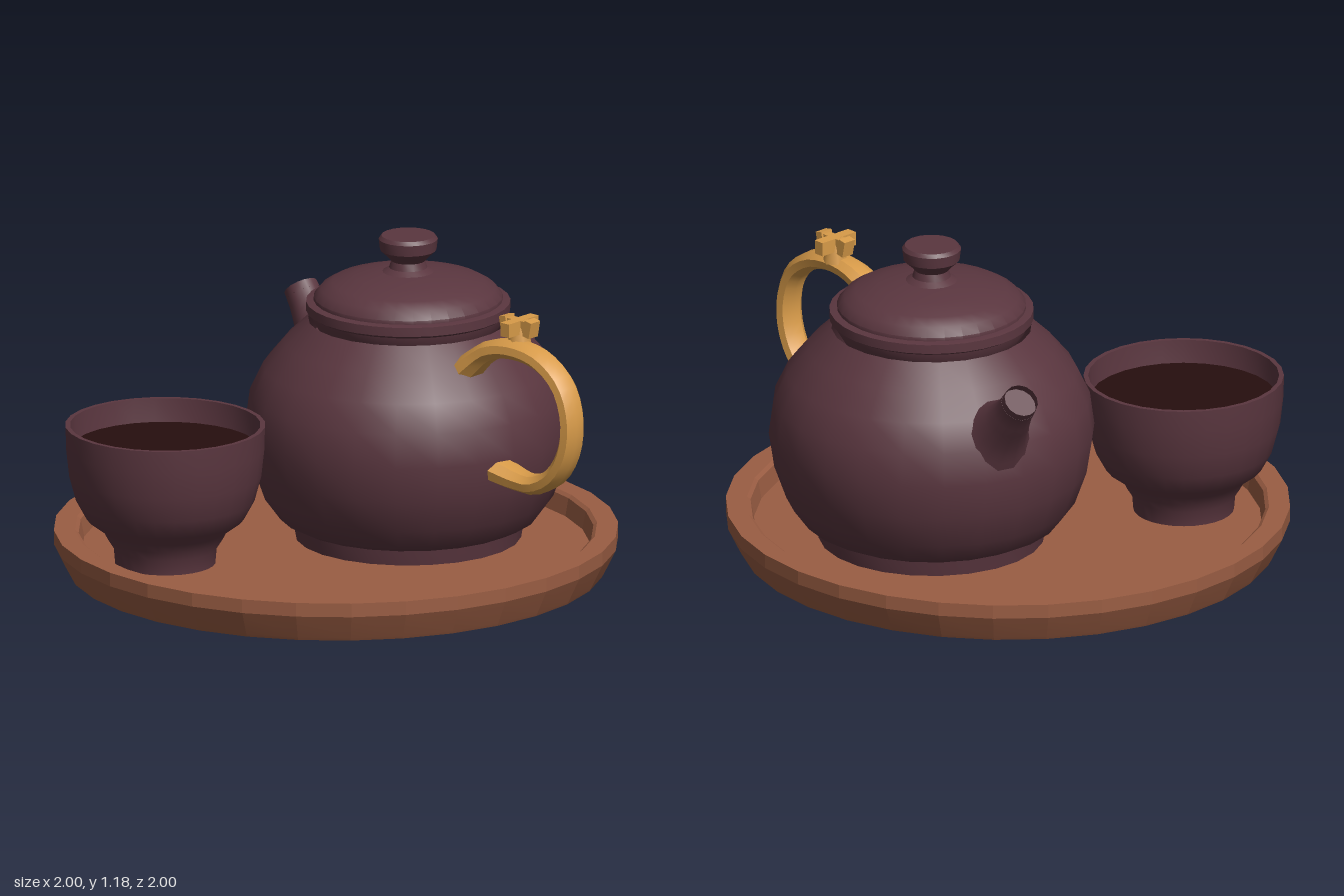
import * as THREE from 'three';
import { toCreasedNormals } from 'three/addons/utils/BufferGeometryUtils.js';

const clay = new THREE.MeshStandardMaterial({ color: 0x5a363f, side: THREE.DoubleSide });
clay.name = 'purple clay';
const wood = new THREE.MeshStandardMaterial({ color: 0x9a5d43 });
wood.name = 'tray wood';
const bamboo = new THREE.MeshStandardMaterial({ color: 0xd89b49 });
bamboo.name = 'golden handle';
const tea = new THREE.MeshStandardMaterial({ color: 0x260e0e });
tea.name = 'dark tea';

function add(group, name, geometry, material, x = 0, y = 0, z = 0) {
  const mesh = new THREE.Mesh(geometry, material);
  mesh.name = name;
  mesh.position.set(x, y, z);
  group.add(mesh);
  return mesh;
}

// Turned part from [radius, height] pairs, listed from the bottom axis outward and up
function turned(profile, sides, crease) {
  const points = profile.map(([r, y]) => new THREE.Vector2(r, y));
  return toCreasedNormals(new THREE.LatheGeometry(points, sides), crease);
}

// Tube whose radius follows a list; widened along one axis by a factor
function taperedTube(points, radii, segments, sides, axis, widen, crease) {
  const curve = new THREE.CatmullRomCurve3(points.map(p => new THREE.Vector3(...p)));
  const geometry = new THREE.TubeGeometry(curve, segments, 1, sides);
  const pos = geometry.attributes.position;
  const v = new THREE.Vector3();
  for (let i = 0; i <= segments; i++) {
    const t = i / segments;
    const centre = curve.getPointAt(t);
    const f = t * (radii.length - 1);
    const k = Math.min(Math.floor(f), radii.length - 2);
    const radius = THREE.MathUtils.lerp(radii[k], radii[k + 1], f - k);
    for (let j = 0; j <= sides; j++) {
      const n = i * (sides + 1) + j;
      v.fromBufferAttribute(pos, n).sub(centre).multiplyScalar(radius);
      v.addScaledVector(axis, v.dot(axis) * (widen - 1)).add(centre);
      pos.setXYZ(n, v.x, v.y, v.z);
    }
  }
  geometry.computeVertexNormals();
  return toCreasedNormals(geometry, crease);
}

function makeTray() {
  const tray = new THREE.Group();
  tray.name = 'tray';
  add(tray, 'trayDish', turned([
    [0, 0], [0.95, 0], [0.957, 0.012], [1, 0.1], [1, 0.15], [0.925, 0.15],
    [0.912, 0.14], [0.9, 0.075], [0, 0.075],
  ], 32, 0.1), wood);
  return tray;
}

function makeTeapot() {
  const pot = new THREE.Group();
  pot.name = 'teapot';
  const cx = 0.19, cz = -0.23;
  add(pot, 'potBody', turned([
    [0, 0.07], [0.4, 0.07], [0.41, 0.13], [0.46, 0.155], [0.515, 0.23], [0.558, 0.35],
    [0.578, 0.48], [0.562, 0.6], [0.515, 0.7], [0.44, 0.79], [0.355, 0.87],
  ], 24, 0.6), clay, cx, 0, cz);
  add(pot, 'potCollar', turned([
    [0.32, 0.84], [0.338, 0.87], [0.345, 0.895], [0.362, 0.905], [0.362, 0.938], [0.33, 0.943], [0, 0.943],
  ], 32, 0.6), clay, cx, 0, cz);
  add(pot, 'lid', turned([
    [0.335, 0.94], [0.335, 0.955], [0.31, 0.985], [0.27, 1.008], [0.19, 1.03], [0.1, 1.045], [0, 1.05],
  ], 32, 0.7), clay, cx, 0, cz);
  add(pot, 'lidKnob', turned([
    [0.1, 1.04], [0.068, 1.06], [0.06, 1.085], [0.078, 1.105], [0.1, 1.125],
    [0.105, 1.165], [0.095, 1.178], [0, 1.18],
  ], 20, 0.7), clay, cx, 0, cz);

  // Spout, leaving the body toward the back right
  const spout = new THREE.Group();
  spout.name = 'spout';
  const path = [[0.4, 0.56], [0.52, 0.66], [0.6, 0.73], [0.65, 0.785], [0.685, 0.825]]
    .map(([d, y]) => [cx - 0.8 * d, y, cz - 0.6 * d]);
  add(spout, 'spoutTube', taperedTube(path, [0.2, 0.155, 0.11, 0.082, 0.066, 0.062], 12, 14,
    new THREE.Vector3(0, 1, 0), 1, 1), clay);
  const throat = add(spout, 'spoutThroat', new THREE.CircleGeometry(0.064, 14), clay,
    cx - 0.8 * 0.665, 0.802, cz - 0.6 * 0.665);
  throat.lookAt(throat.position.x - 0.52, throat.position.y + 0.76, throat.position.z - 0.39);
  pot.add(spout);
  return pot;
}

function makeHandle() {
  const handle = new THREE.Group();
  handle.name = 'handle';
  const across = new THREE.Vector3(-0.37, 0, 0.93).normalize();
  const loop = [
    [0.49, 0.77], [0.54, 0.82], [0.61, 0.875], [0.72, 0.897], [0.83, 0.876], [0.92, 0.8],
    [0.957, 0.68], [0.942, 0.56], [0.885, 0.465], [0.8, 0.418], [0.72, 0.422], [0.64, 0.44],
  ].map(([x, y]) => [x, y, 0.035 + (x - 0.53) * 0.4]);
  add(handle, 'handleLoop', taperedTube(loop,
    [0.052, 0.04, 0.036, 0.036, 0.036, 0.036, 0.036, 0.036, 0.036, 0.038, 0.048],
    30, 8, across, 1.5, 0.6), bamboo);

  // Crossed knot on top of the loop
  const knot = new THREE.Group();
  knot.name = 'handleKnot';
  knot.position.set(0.72, 0.97, 0.09);
  knot.rotation.y = -0.38;
  add(knot, 'knotStem', new THREE.CylinderGeometry(0.03, 0.045, 0.07, 6), bamboo, 0, -0.025, 0);
  add(knot, 'knotBarLong', new THREE.BoxGeometry(0.13, 0.045, 0.035), bamboo, 0, 0.012, 0);
  add(knot, 'knotBarAcross', new THREE.BoxGeometry(0.04, 0.05, 0.16), bamboo, 0, 0.01, 0);
  for (const side of [-1, 1]) {
    const tip = add(knot, 'knotTip', new THREE.BoxGeometry(0.03, 0.06, 0.05), bamboo, side * 0.055, 0.01, 0);
    tip.rotation.z = side * -0.2;
  }
  handle.add(knot);
  return handle;
}

function makeCup() {
  const cup = new THREE.Group();
  cup.name = 'cup';
  cup.position.set(-0.505, 0, 0.385);
  add(cup, 'cupBowl', turned([
    [0, 0.07], [0.178, 0.07], [0.183, 0.13], [0.205, 0.165], [0.22, 0.195], [0.28, 0.24], [0.318, 0.31],
    [0.342, 0.4], [0.353, 0.5], [0.355, 0.58], [0.338, 0.58], [0.333, 0.5], [0.32, 0.42],
  ], 28, 0.6), clay);
  const surface = add(cup, 'teaSurface', new THREE.CircleGeometry(0.334, 28), tea, 0, 0.495, 0);
  surface.rotation.x = -Math.PI / 2;
  return cup;
}

export function createModel() {
  const model = new THREE.Group();
  model.name = 'teaSet';
  model.add(makeTray(), makeTeapot(), makeHandle(), makeCup());
  return model;
}
